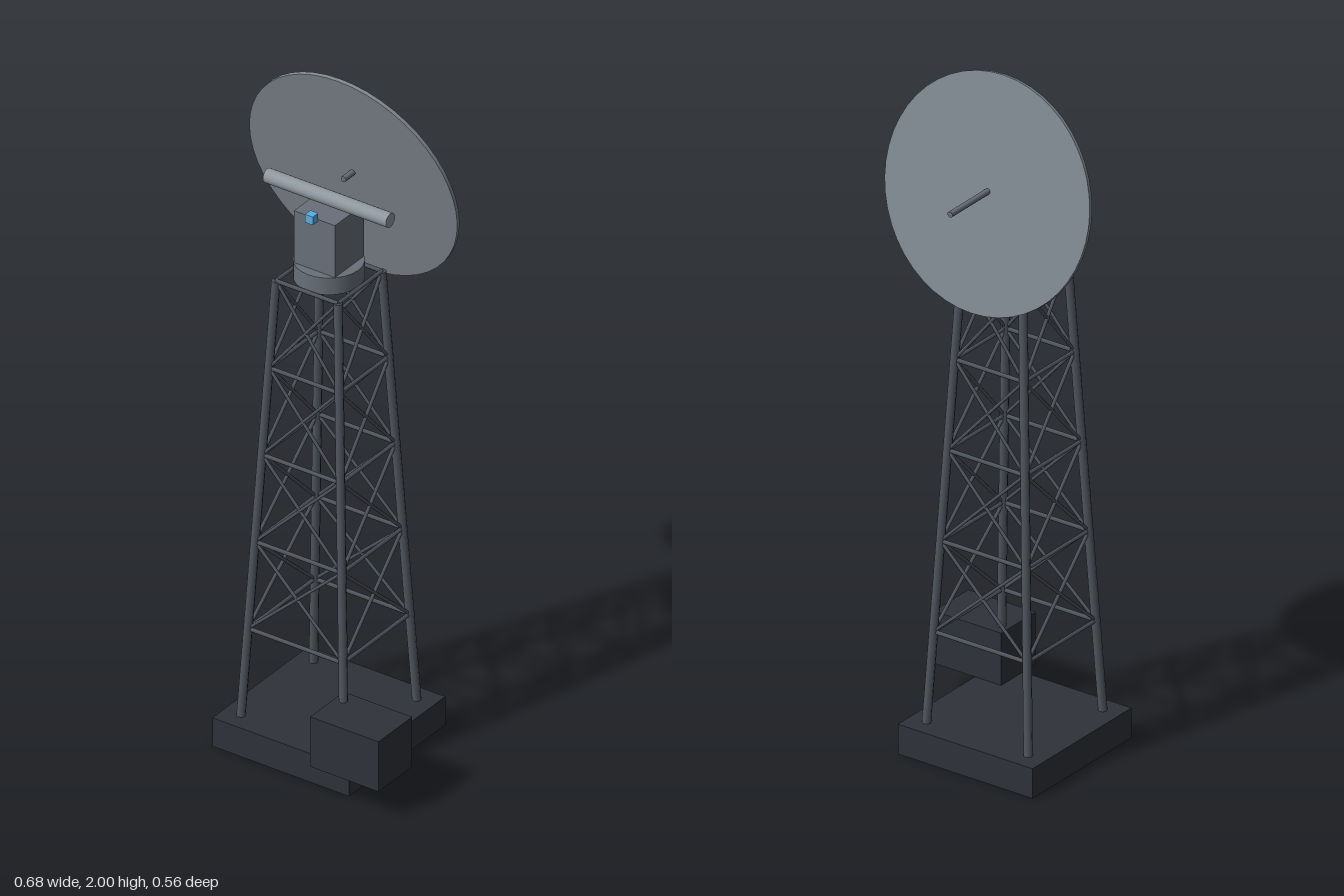
import * as THREE from 'three';

const CX = -0.012, CZ = 0.005; // tower axis
const mat = (color) => new THREE.MeshStandardMaterial({ color });
const dark = mat(0x2f323a), steel = mat(0x50555e), mid = mat(0x69707a),
  light = mat(0x7f8890), pale = mat(0x8f989f), blue = mat(0x5aaee0);

function add(parent, name, geometry, material, x, y, z) {
  const mesh = new THREE.Mesh(geometry, material);
  mesh.name = name;
  mesh.position.set(x, y, z);
  parent.add(mesh);
  return mesh;
}

// Round bar between two points
function strut(parent, name, a, b, radius, sides, material) {
  const dir = b.clone().sub(a);
  const mesh = add(parent, name, new THREE.CylinderGeometry(radius, radius, dir.length(), sides),
    material, ...a.clone().add(b).multiplyScalar(0.5).toArray());
  mesh.quaternion.setFromUnitVectors(new THREE.Vector3(0, 1, 0), dir.normalize());
}

// Four-legged tapering lattice
function createTower() {
  const tower = new THREE.Group();
  tower.name = 'latticeTower';
  tower.position.set(CX, 0, CZ);
  const y0 = 0.088, y1 = 1.42, bays = 5;
  const signs = [[1, 1], [-1, 1], [-1, -1], [1, -1]];
  const corner = (side, level) => {
    const t = level / bays;
    const half = THREE.MathUtils.lerp(0.166, 0.1, t);
    const [sx, sz] = signs[side % 4];
    return new THREE.Vector3(sx * half, THREE.MathUtils.lerp(y0, y1, t), sz * half);
  };
  for (let side = 0; side < 4; side++) {
    strut(tower, 'leg', corner(side, 0), corner(side, bays), 0.0125, 8, steel);
    for (let level = 1; level <= bays; level++) {
      strut(tower, 'horizontalBrace', corner(side, level), corner(side + 1, level), 0.006, 6, steel);
      if (level === bays) continue;
      strut(tower, 'diagonalBrace', corner(side, level), corner(side + 1, level + 1), 0.005, 6, steel);
      strut(tower, 'diagonalBrace', corner(side + 1, level), corner(side, level + 1), 0.005, 6, steel);
    }
  }
  return tower;
}

export function createModel() {
  const model = new THREE.Group();
  model.name = 'radarTower';

  // Foundation and equipment cabinet
  add(model, 'foundation', new THREE.BoxGeometry(0.44, 0.088, 0.44), dark, CX, 0.044, CZ);
  add(model, 'cabinet', new THREE.BoxGeometry(0.22, 0.154, 0.154), dark, 0.231, 0.166, 0.203);

  model.add(createTower());

  // Turntable and drive housing
  add(model, 'turntable', new THREE.CylinderGeometry(0.095, 0.095, 0.052, 24), mid, CX, 1.445, CZ);
  add(model, 'driveHousing', new THREE.BoxGeometry(0.132, 0.16, 0.132), mid, CX, 1.551, CZ);
  add(model, 'indicatorLamp', new THREE.BoxGeometry(0.025, 0.025, 0.025), blue, CX, 1.639, 0.084);

  // Horizontal crossbar over the housing
  const bar = add(model, 'crossbar', new THREE.CylinderGeometry(0.021, 0.021, 0.396, 16), pale, CX, 1.661, CZ);
  bar.rotation.z = Math.PI / 2;

  // Flat dish leaning forward, with a level feed rod through it
  const dish = add(model, 'dish', new THREE.CylinderGeometry(0.331, 0.331, 0.011, 48), light, CX, 1.677, -0.112);
  dish.rotation.x = Math.PI / 2 + 0.212;
  const rod = add(model, 'feedRod', new THREE.CylinderGeometry(0.0085, 0.0085, 0.222, 10), mid, CX, 1.685, -0.172);
  rod.rotation.x = Math.PI / 2;

  return model;
}
